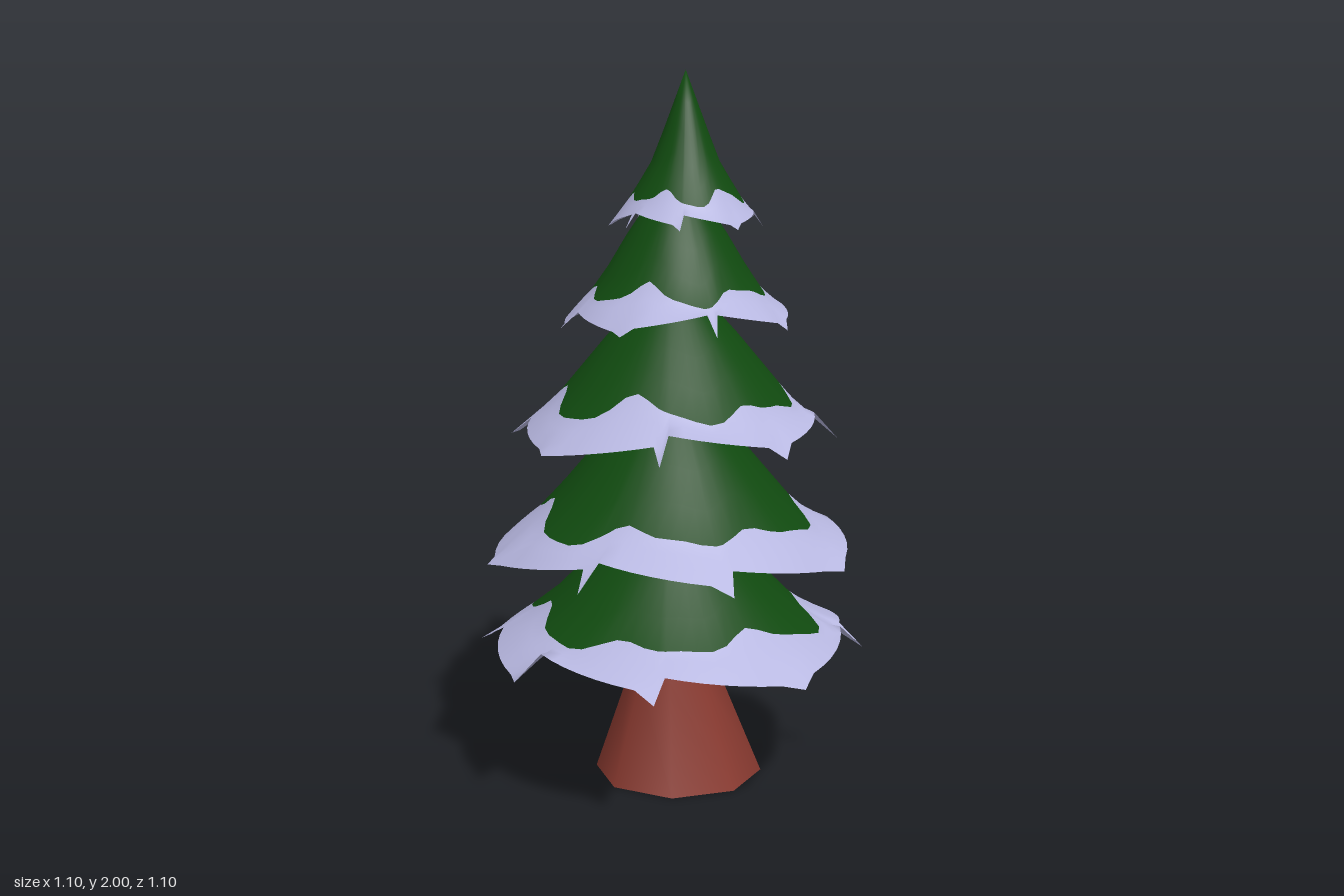
import * as THREE from 'three';

const bark = new THREE.MeshStandardMaterial({ color: 0x8a3a30 });
bark.name = 'bark';
const needles = new THREE.MeshStandardMaterial({ color: 0x10490f, side: THREE.DoubleSide });
needles.name = 'needle green';
const snow = new THREE.MeshStandardMaterial({ color: 0xb7b7e0, side: THREE.DoubleSide });
snow.name = 'snow';

// Each tier: x offset, turn in teeth, and profile points [radius, height] from apex to rim
const TIERS = [
  { x: 0, turn: 0, profile: [[0, 0.86], [0.1, 0.78], [0.22, 0.65], [0.37, 0.5], [0.55, 0.385]] },
  { x: 0, turn: 0.5, profile: [[0, 1.16], [0.1, 1.1], [0.19, 0.99], [0.36, 0.79], [0.53, 0.66]] },
  { x: 0.01, turn: 0, profile: [[0, 1.47], [0.08, 1.39], [0.18, 1.28], [0.33, 1.1], [0.46, 0.99]] },
  { x: 0.025, turn: 0.5, profile: [[0, 1.72], [0.06, 1.67], [0.13, 1.57], [0.22, 1.42], [0.335, 1.305]] },
  { x: 0.055, turn: 0, profile: [[0, 2], [0.09, 1.76], [0.15, 1.66], [0.215, 1.575]] },
];
const TEETH = 8;
const STEPS = [0, 0.06, 0.19, 0.32, 0.46, 0.6, 0.73, 0.87];

function seeded(seed) {
  return () => {
    seed = (seed * 16807) % 2147483647;
    return seed / 2147483647;
  };
}

// Height on a profile at a given radius
function heightAt(profile, r) {
  let i = 1;
  while (i < profile.length - 1 && r > profile[i][0]) i++;
  const [r0, y0] = profile[i - 1], [r1, y1] = profile[i];
  return y0 + (y1 - y0) * (r - r0) / (r1 - r0);
}

// Saw-toothed rim: a long tip, a sharp notch beside it, then a slope out to the next tip
function rimColumns(turn, random) {
  const columns = [];
  for (let t = 0; t < TEETH; t++) {
    const flip = random() < 0.4;
    const depth = 0.85 + random() * 0.04;
    const sag = (random() - 0.5) * 0.035;
    const steps = flip ? STEPS.map((f) => (f ? 1 - f : 0)).sort((a, b) => a - b) : STEPS;
    for (const f of steps) {
      const along = flip ? 1 - f : f;
      columns.push({
        angle: (t + f + turn) * Math.PI * 2 / TEETH,
        reach: f === 0 ? 1 : depth + 0.1 * along,
        lift: f === 0 ? 0 : sag + 0.012 * (1 - along),
      });
    }
  }
  return columns;
}

// An open, snow-edged skirt of branches
function makeTier({ x, turn, profile }, index) {
  const columns = rimColumns(turn, seeded(917 + index * 131));
  const n = columns.length;
  const R = profile[profile.length - 1][0];
  const size = R / 0.55;
  const greenRows = 5, snowRows = 3;
  const rows = greenRows + snowRows;
  const positions = [x, profile[0][1], 0];
  for (let row = 1; row <= rows; row++) {
    for (const { angle, reach, lift } of columns) {
      const edge = R * (0.71 - 0.05 * Math.cos(6 * angle) + 0.03 * Math.sin(4 * angle + index)
        + 0.015 * Math.sin(13 * angle));
      const out = Math.max(0, (row - greenRows) / snowRows);
      const r = row <= greenRows ? edge * row / greenRows : edge + (R * reach - edge) * out;
      const y = heightAt(profile, r) + lift * size * out * out;
      positions.push(x + r * Math.sin(angle), y, r * Math.cos(angle));
    }
  }
  const indices = [];
  for (let c = 0; c < n; c++) indices.push(0, 1 + c, 1 + (c + 1) % n);
  let greenCount = 0;
  for (let row = 1; row < rows; row++) {
    if (row === greenRows) greenCount = indices.length;
    for (let c = 0; c < n; c++) {
      const a = 1 + (row - 1) * n + c, b = 1 + (row - 1) * n + (c + 1) % n;
      indices.push(a, a + n, b, b, a + n, b + n);
    }
  }
  const geometry = new THREE.BufferGeometry();
  geometry.setAttribute('position', new THREE.Float32BufferAttribute(positions, 3));
  geometry.setIndex(indices);
  geometry.computeVertexNormals();
  geometry.addGroup(0, greenCount, 0);
  geometry.addGroup(greenCount, indices.length - greenCount, 1);
  const mesh = new THREE.Mesh(geometry, [needles, snow]);
  mesh.name = 'branchTier' + (index + 1);
  return mesh;
}

// Flared, eight-sided trunk that narrows up through the tiers
function makeTrunk() {
  const points = [[0, 0], [0.24, 0], [0.24, 0], [0.128, 0.3], [0.122, 0.42], [0.085, 0.8], [0.055, 1.1], [0.035, 1.4], [0, 1.6]];
  const geometry = new THREE.LatheGeometry(points.map(([r, y]) => new THREE.Vector2(r, y)), 8);
  const p = geometry.attributes.position;
  for (let i = 0; i < p.count; i++) {
    p.setX(i, p.getX(i) + 0.03 - 0.05 * Math.min(p.getY(i), 0.4));
  }
  const mesh = new THREE.Mesh(geometry, bark);
  mesh.name = 'trunk';
  return mesh;
}

export function createModel() {
  const tree = new THREE.Group();
  tree.name = 'snowyFirTree';
  tree.add(makeTrunk(), ...TIERS.map(makeTier));
  return tree;
}
